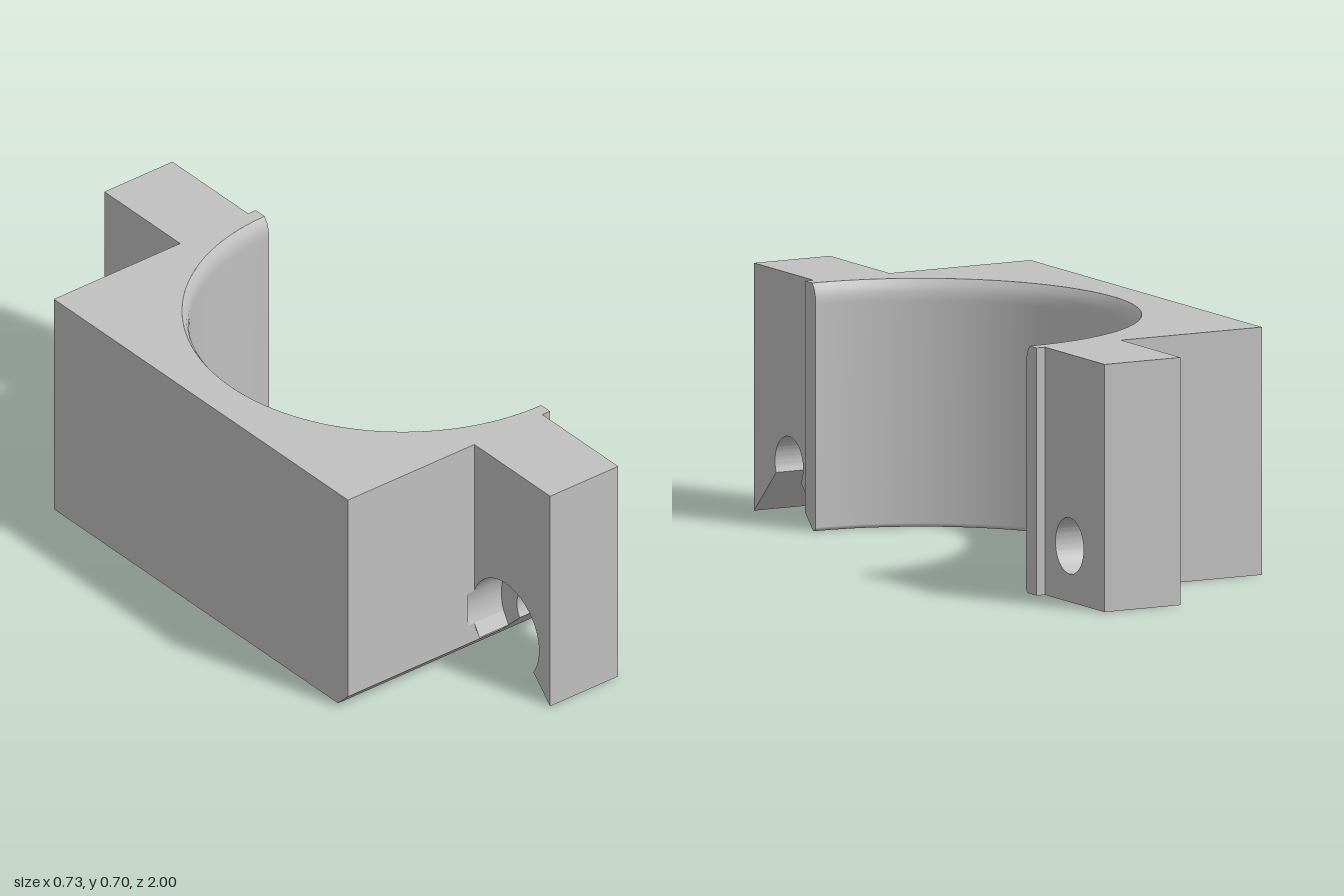
import * as THREE from 'three';
import { toCreasedNormals } from 'three/addons/utils/BufferGeometryUtils.js';

const H = 0.705, X0 = -0.365, X1 = 0.362, Z = 0.66;   // block extents
const FOOT = 0.615, CUT = Z - FOOT;                    // 45 degree cut under the front
const TAB0 = 0.09, TABMID = 0.195, TAB1 = 0.335, POCKET = 0.067;
const HZ = 0.8, HY = 0.16, R = 0.08, CR = 0.15;        // hole centre, hole and counterbore radii
const A = Math.PI - Math.acos((HZ - Z) / CR);          // angle where the counterbore meets the block

// bore profile, bottom to top: small round, straight wall, rounded lead-in
const BORE = [[0.61, 0], [0.603, 0.004], [0.6, 0.012], [0.6, 0.645],
  [0.602, 0.668], [0.608, 0.688], [0.62, H]];

export function createModel() {
  const group = new THREE.Group();
  const metal = new THREE.MeshStandardMaterial({ color: 0xc0c0c0, side: THREE.DoubleSide });
  metal.name = 'grey metal';

  const add = (name, geo) => {
    const mesh = new THREE.Mesh(geo, metal);
    mesh.name = name;
    group.add(mesh);
  };
  const shapeOf = pts => new THREE.Shape(pts.map(p => new THREE.Vector2(...p)));
  // move each vertex of a flat geometry by a rule
  const mapped = (geo, rule) => {
    const p = geo.attributes.position;
    for (let i = 0; i < p.count; i++) p.setXYZ(i, ...rule(p.getX(i), p.getY(i)));
    geo.computeVertexNormals();
    return geo;
  };
  const face = (name, shape, rule) => add(name, mapped(new THREE.ShapeGeometry(shape, 64), rule));

  // block top and bottom with the half-round bore
  const cap = (r, zMin, zMax) => {
    const s = shapeOf([[X1, zMax], [X0, zMax], [X0, zMin], [X1, zMin]]);
    s.absarc(X1, 0, r, -Math.PI / 2, -Math.PI * 1.5, true);
    return s;
  };
  face('blockTop', cap(0.62, -Z, Z), (a, b) => [a, H, -b]);
  face('blockBottom', cap(0.61, -Z, FOOT), (a, b) => [a, 0, b]);
  face('blockSide', shapeOf([[-Z, 0], [FOOT, 0], [Z, CUT], [Z, H], [-Z, H]]), (a, b) => [X0, b, a]);
  face('blockChamfer', shapeOf([[X0, 0], [X1, 0], [X1, CUT], [X0, CUT]]),
    (a, b) => [a, b, FOOT + b]);

  // bore wall
  const bore = new THREE.LatheGeometry(BORE.map(p => new THREE.Vector2(...p)).reverse(), 72, Math.PI, Math.PI);
  bore.translate(X1, 0, 0);
  add('boreWall', bore);

  // tab section: outline in (z, y) extruded along x, s = +1 front, -1 back
  const section = (name, shape, s, x0, x1) => {
    let geo = new THREE.ExtrudeGeometry(shape, { depth: x1 - x0, bevelEnabled: false, curveSegments: 40 });
    geo.rotateY(-s * Math.PI / 2);
    geo.translate(s > 0 ? x1 : x0, 0, 0);
    add(name, toCreasedNormals(geo, 0.5));
  };
  // crossing of a radius with the two 45 degree sides of the notch, as angles about the hole
  const outerHit = r => {
    const y = (0.72 - Math.sqrt(0.5184 - 8 * (0.0656 - r * r))) / 4;
    return Math.atan2(y - HY, 1 - y - HZ);
  };
  const innerHit = r => {
    const z = (3.15 - Math.sqrt(9.9225 - 8 * (1.240625 - r * r))) / 4;
    return Math.atan2(z - FOOT - HY, z - HZ);
  };

  for (const s of [1, -1]) {
    const side = s > 0 ? 'front' : 'back';
    const low = s > 0 ? CUT : 0;

    // outer wall with the opening cut by the counterbore
    const dy = CR * Math.sin(A);
    const wall = shapeOf([[X0, low], [X1, low], [X1, H], [X0, H]].map(([x, y]) => [s * x, y]));
    wall.holes.push(new THREE.Path([[POCKET, HY - dy], [TABMID, HY - dy], [TABMID, HY + dy], [POCKET, HY + dy]]
      .map(([x, y]) => new THREE.Vector2(s * x, y))));
    face(side + 'Wall', wall, (a, b) => [s * a, b, s * Z]);

    // shallow counterbore pocket in the block
    const arc = new THREE.PlaneGeometry(TABMID - POCKET, 2 * (Math.PI - A), 1, 10);
    add(side + 'Pocket', mapped(arc, (p, q) => [(POCKET + TABMID) / 2 + p,
      HY + CR * Math.sin(Math.PI + q), s * (HZ + CR * Math.cos(Math.PI + q))]));
    for (const x of [POCKET, TABMID]) {
      const crescent = new THREE.Shape();
      crescent.absarc(HZ, HY, CR, A, 2 * Math.PI - A, false);
      face(side + 'PocketEnd', crescent, (a, b) => [x, b, s * a]);
    }

    // end face beside the bore
    const lip = [...BORE, [Z, H], [Z, low]];
    if (s > 0) lip.push([FOOT, 0]); 
    face(side + 'Lip', shapeOf(lip), (a, b) => [X1, b, s * a]);

    // tabs: counterbored layer, then through-hole layer
    let wide, narrow;
    if (s > 0) {
      wide = shapeOf([[1, 0], [1, H], [Z, H]]);
      wide.absarc(HZ, HY, CR, A, outerHit(CR), true);
      const sliver = shapeOf([[Z, CUT]]);
      sliver.absarc(HZ, HY, CR, innerHit(CR), A - 2 * Math.PI + 2 * (Math.PI - A), true);
      section('frontTabSliver', sliver, s, TAB0, TABMID);
      narrow = shapeOf([[1, 0], [1, H], [Z, H], [Z, CUT]]);
      narrow.absarc(HZ, HY, R, innerHit(R) + 2 * Math.PI, outerHit(R), true);
    } else {
      wide = shapeOf([[Z, 0], [1, 0], [1, H], [Z, H]]);
      wide.absarc(HZ, HY, CR, A, -A, true);
      narrow = shapeOf([[Z, 0], [1, 0], [1, H], [Z, H]]);
      narrow.holes.push(new THREE.Path().absarc(HZ, HY, R, 0, Math.PI * 2, true));
    }
    section(side + 'TabCounterbore', wide, s, TAB0, TABMID);
    section(side + 'TabHole', narrow, s, TABMID, TAB1);
  }
  return group;
}
